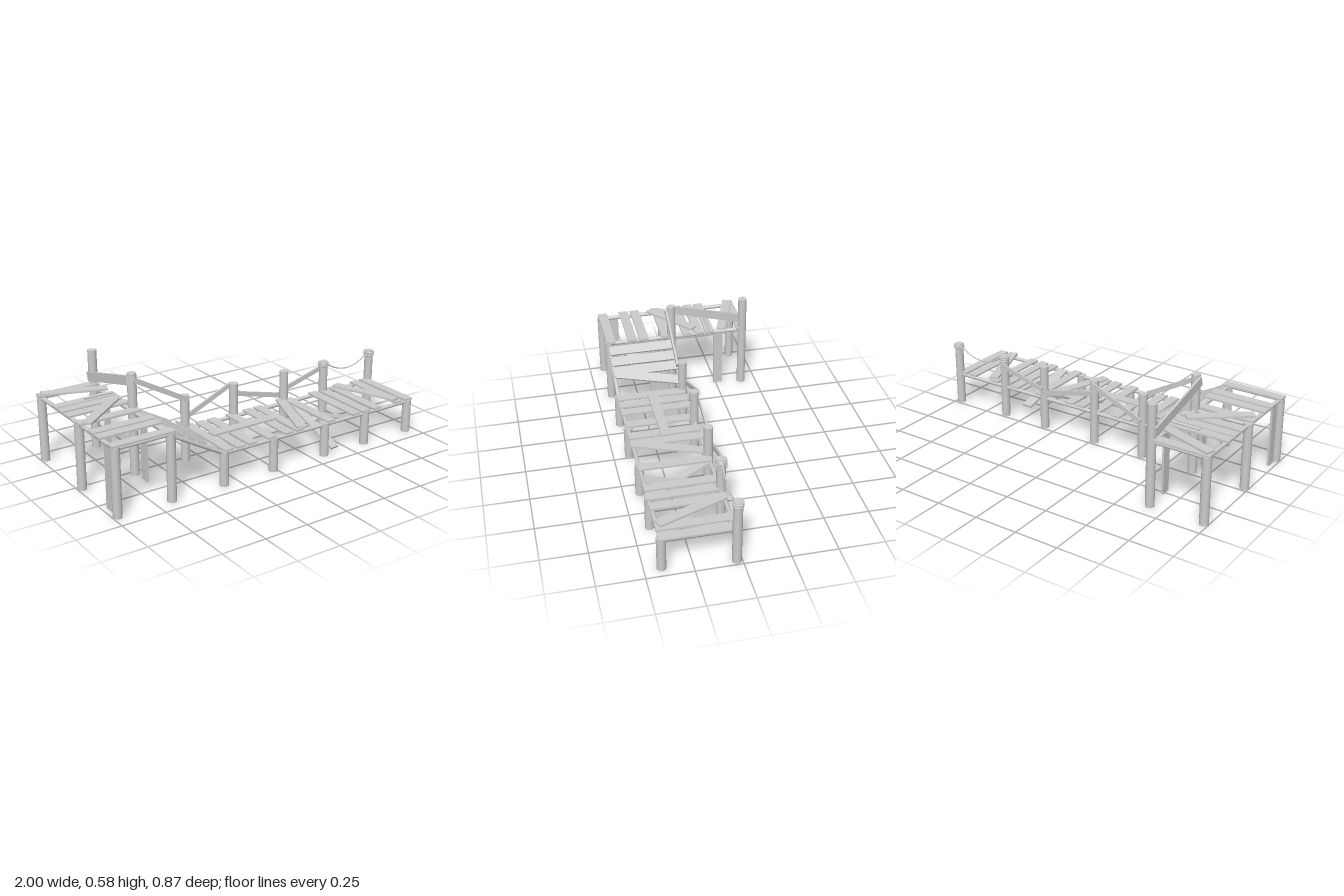
import * as THREE from 'three';

const V = (p) => new THREE.Vector3(...p);
const UP = [0, 1, 0];

export function createModel() {
  const model = new THREE.Group();
  const mat = new THREE.MeshStandardMaterial({ color: 0xcccccc });

  const add = (name, geo) => {
    const m = new THREE.Mesh(geo, mat);
    m.name = name;
    model.add(m);
    return m;
  };

  // Board from a to b, with its broad face turned towards "normal"
  const plank = (name, a, b, width = 0.055, thick = 0.011, normal = UP) => {
    const A = V(a), B = V(b);
    const x = B.clone().sub(A);
    const m = add(name, new THREE.BoxGeometry(x.length(), thick, width));
    x.normalize();
    const z = x.clone().cross(V(normal)).normalize();
    const y = z.clone().cross(x);
    m.quaternion.setFromRotationMatrix(new THREE.Matrix4().makeBasis(x, y, z));
    m.position.copy(A).add(B).multiplyScalar(0.5);
  };

  // Round pole from a to b
  const pole = (name, a, b, r) => {
    const A = V(a), B = V(b), d = B.clone().sub(A);
    const m = add(name, new THREE.CylinderGeometry(r, r, d.length(), 18));
    m.quaternion.setFromUnitVectors(V(UP), d.normalize());
    m.position.copy(A).add(B).multiplyScalar(0.5);
  };

  // Posts: [x, z, height]
  const posts = [
    [-0.975, 0.41, 0.382], [-0.66, 0.41, 0.382], [-0.34, 0.41, 0.197], [-0.02, 0.41, 0.197],
    [0.33, 0.41, 0.197], [0.62, 0.41, 0.197], [0.94, 0.41, 0.197],
    [-0.975, 0.03, 0.382], [-0.66, 0.03, 0.58], [-0.34, 0.03, 0.385], [-0.02, 0.03, 0.385],
    [0.33, 0.03, 0.385], [0.62, 0.03, 0.385], [0.97, 0.03, 0.385],
    [-0.975, -0.41, 0.382], [-0.66, -0.41, 0.58],
  ];
  for (const [x, z, h] of posts) pole('post', [x, 0, z], [x, h, z], 0.025);

  // Bearers under the upper deck, the ramp and the lower deck
  for (const x of [-0.975, -0.665]) pole('upperBearer', [x, 0.37, -0.41], [x, 0.37, 0.41], 0.012);
  for (const z of [-0.41, 0.03, 0.41]) pole('crossBearer', [-0.975, 0.37, z], [-0.66, 0.37, z], 0.01);
  for (const z of [0.03, 0.41]) {
    pole('rampBearer', [-0.66, 0.365, z], [-0.34, 0.185, z], 0.012);
    pole('lowerBearer', [-0.34, 0.185, z], [0.96, 0.185, z], 0.011);
  }

  // Upper deck boards
  for (const z of [-0.4, -0.205, -0.14, -0.065, 0.065, 0.2, 0.27, 0.4])
    plank('upperBoard', [-0.998, 0.386, z], [-0.64, 0.386, z]);
  plank('looseUpperBoard', [-0.985, 0.397, -0.395], [-0.645, 0.397, -0.275]);
  plank('looseUpperBoard', [-0.97, 0.397, 0.11], [-0.69, 0.397, -0.115]);
  pole('looseStick', [-0.82, 0.396, -0.203], [-0.65, 0.396, -0.203], 0.006);

  // Upright boards beside the upper deck
  for (const [x, z] of [[-0.975, 0.335], [-0.66, 0.14], [-0.66, -0.26]])
    plank('uprightBoard', [x, 0.01, z], [x, 0.362, z], 0.056, 0.012, [1, 0, 0]);

  // Ramp boards, tilted with the slope
  const slope = [0.49, 0.87, 0];
  const rampY = (x) => 0.382 - 0.5625 * (x + 0.66);
  for (const x of [-0.605, -0.54, -0.48])
    plank('rampBoard', [x, rampY(x), 0.025], [x, rampY(x), 0.415], 0.058, 0.011, slope);
  plank('skewRampBoard', [-0.465, 0.277, 0.405], [-0.385, 0.238, 0.045], 0.055, 0.011, slope);

  // Lower deck boards
  for (const x of [-0.315, -0.24, -0.165, -0.04, 0.075, 0.15, 0.365, 0.545, 0.62, 0.7, 0.865, 0.94])
    plank('lowerBoard', [x, 0.201, 0.02], [x, 0.201, 0.425]);
  plank('skewBoard', [0.16, 0.212, 0.42], [0.31, 0.212, 0.025]);
  plank('skewBoard', [0.71, 0.216, 0.03], [0.855, 0.216, 0.41]);
  plank('lyingBoard', [-0.295, 0.213, 0.22], [0.12, 0.213, 0.22]);

  // Broken boards hanging through the deck
  plank('hangingBoard', [0.375, 0.195, 0.04], [0.415, 0.02, 0.4], 0.055, 0.012);
  plank('hangingBoard', [0.465, 0.195, 0.41], [0.465, 0.095, 0.035], 0.06, 0.012);

  // Handrails nailed to the posts
  const rails = [
    [[-0.67, 0.552, 0.06], [-0.335, 0.365, 0.06]],
    [[-0.345, 0.228, 0.001], [-0.015, 0.372, 0.001]],
    [[-0.02, 0.315, 0.001], [0.335, 0.225, 0.001]],
    [[0.325, 0.25, 0.001], [0.625, 0.335, 0.001]],
  ];
  for (const [a, b] of rails) plank('handrail', a, b, 0.027, 0.01, [0, 0, 1]);
  plank('upperHandrail', [-0.688, 0.545, 0.035], [-0.688, 0.43, -0.415], 0.052, 0.011, [1, 0, 0]);

  // Slack rope with coils round two posts
  const rope = new THREE.QuadraticBezierCurve3(V([0.64, 0.367, 0.03]), V([0.8, 0.252, 0.03]), V([0.95, 0.367, 0.03]));
  add('rope', new THREE.TubeGeometry(rope, 28, 0.004, 8));
  for (const x of [0.62, 0.97])
    for (let i = 0; i < 4; i++) {
      const ring = add('ropeCoil', new THREE.TorusGeometry(0.0265, 0.0045, 8, 24));
      ring.rotation.x = Math.PI / 2 + (i % 2 ? 0.06 : -0.04);
      ring.position.set(x, 0.356 + i * 0.007, 0.03);
    }

  return model;
}
